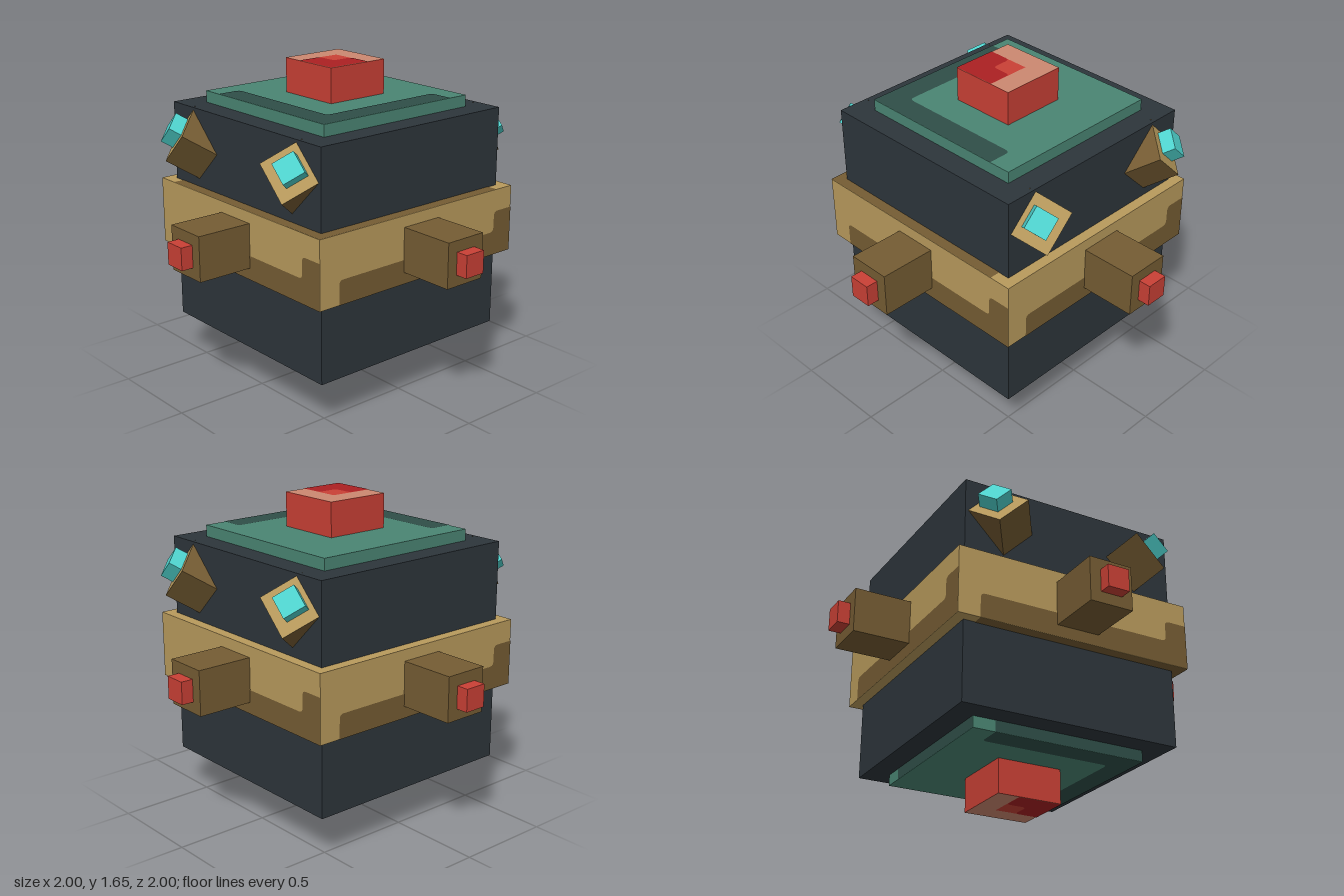
import * as THREE from 'three';

const mat = (name, color) => {
  const m = new THREE.MeshStandardMaterial({ color });
  m.name = name;
  return m;
};

export function createModel() {
  const M = {
    slate: mat('slate', 0x2d353b),
    tan: mat('tan', 0xb89a5c),
    brown: mat('brown', 0x755c33),
    teal: mat('teal', 0x4a8573),
    darkTeal: mat('darkTeal', 0x2f4e48),
    red: mat('red', 0xc94035),
    pink: mat('pink', 0xcc8870),
    deepRed: mat('deepRed', 0xab2022),
    cyan: mat('cyan', 0x50d5d0),
  };
  const model = new THREE.Group();
  model.name = 'reactorCube';

  const add = (parent, name, geometry, material) => {
    const mesh = new THREE.Mesh(geometry, material);
    mesh.name = name;
    parent.add(mesh);
    return mesh;
  };
  // Square-section box from y0 to y1
  const block = (name, half, y0, y1, material) => {
    const mesh = add(model, name, new THREE.BoxGeometry(2 * half, y1 - y0, 2 * half), material);
    mesh.position.y = (y0 + y1) / 2;
    return mesh;
  };

  // Painted L along the lower and right edges of a w x h face
  const INSET = 0.115, BAND = 0.125, R = 0.025;
  const cornerPaint = (w, h) => {
    const x0 = -w / 2 + INSET, x1 = w / 2 - BAND, y0 = -h / 2 + BAND, y1 = h / 2 - INSET;
    const s = new THREE.Shape();
    s.moveTo(x0, -h / 2);
    s.lineTo(w / 2, -h / 2);
    s.lineTo(w / 2, y1);
    s.lineTo(x1 + R, y1);
    s.quadraticCurveTo(x1, y1, x1, y1 - R);
    s.lineTo(x1, y0 + R);
    s.quadraticCurveTo(x1, y0, x1 - R, y0);
    s.lineTo(x0 + R, y0);
    s.quadraticCurveTo(x0, y0, x0, y0 - R);
    return new THREE.ShapeGeometry(s, 4);
  };
  // Right and up directions of each face
  const V = (x, y, z) => new THREE.Vector3(x, y, z);
  const faces = {
    front: [V(1, 0, 0), V(0, 1, 0)],
    back: [V(-1, 0, 0), V(0, 1, 0)],
    left: [V(0, 0, -1), V(0, 1, 0)],
    right: [V(0, 0, 1), V(0, 1, 0)],
    top: [V(1, 0, 0), V(0, 0, -1)],
    bottom: [V(0, 0, 1), V(-1, 0, 0)],
  };
  const onFace = (parent, face, name, geometry, material, distance) => {
    const [u, v] = faces[face];
    const n = u.clone().cross(v);
    geometry.applyMatrix4(new THREE.Matrix4().makeBasis(u, v, n).setPosition(n.multiplyScalar(distance)));
    add(parent, name, geometry, material);
  };
  const paintAll = (mesh, material) => {
    const { width, height } = mesh.geometry.parameters;
    for (const face of Object.keys(faces)) {
      const flat = face === 'top' || face === 'bottom';
      const h = flat ? width : height;
      onFace(mesh, face, mesh.name + 'Paint', cornerPaint(width, h), material,
        (flat ? height : width) / 2 + 0.002);
    }
  };

  // Main body, belt and the teal core showing above and below
  block('body', 0.587, 0.24, 1.41, M.slate);
  paintAll(block('belt', 0.643, 0.65, 1.0, M.tan), M.brown);
  paintAll(block('core', 0.467, 0.182, 1.47, M.teal), M.darkTeal);

  // Red post with painted ends
  const post = block('post', 0.175, 0.003, 1.647, M.red);
  for (const face of ['top', 'bottom']) {
    onFace(post, face, 'postHighlight', new THREE.PlaneGeometry(0.35, 0.35), M.pink, 0.823);
    const inner = new THREE.PlaneGeometry(0.35 - INSET, 0.35 - INSET).translate(INSET / 2, -INSET / 2, 0);
    onFace(post, face, 'postMiddle', inner, M.red, 0.824);
    onFace(post, face, 'postShade', cornerPaint(0.35, 0.35), M.deepRed, 0.825);
  }

  // Four side arms with red tips
  for (let i = 0; i < 4; i++) {
    const arm = new THREE.Group();
    arm.name = 'sideArm';
    arm.position.y = 0.826;
    arm.rotation.y = i * Math.PI / 2;
    add(arm, 'armBlock', new THREE.BoxGeometry(0.23, 0.23, 0.4), M.brown).position.z = 0.737;
    add(arm, 'armTip', new THREE.BoxGeometry(0.115, 0.115, 0.1), M.red).position.z = 0.95;
    model.add(arm);
  }

  // Four tilted corner lamps on the front and back
  const sides = [M.brown, M.brown, M.brown, M.brown, M.tan, M.brown];
  for (const sx of [-1, 1]) {
    for (const sz of [-1, 1]) {
      const n = V(0.5 * sx, 0.5, Math.SQRT1_2 * sz);
      const b = V(-Math.SQRT1_2 * sx, Math.SQRT1_2, 0);
      const c = n.clone().cross(b);
      const lamp = new THREE.Group();
      lamp.name = 'cornerLamp';
      lamp.quaternion.setFromRotationMatrix(new THREE.Matrix4().makeBasis(b, c, n));
      lamp.position.set(0.451 * sx, 1.277, 0.645 * sz);
      add(lamp, 'lampBlock', new THREE.BoxGeometry(0.225, 0.225, 0.3), sides).position.z = -0.15;
      add(lamp, 'lampTip', new THREE.BoxGeometry(0.115, 0.115, 0.09), M.cyan).position.z = 0.023;
      model.add(lamp);
    }
  }
  return model;
}
